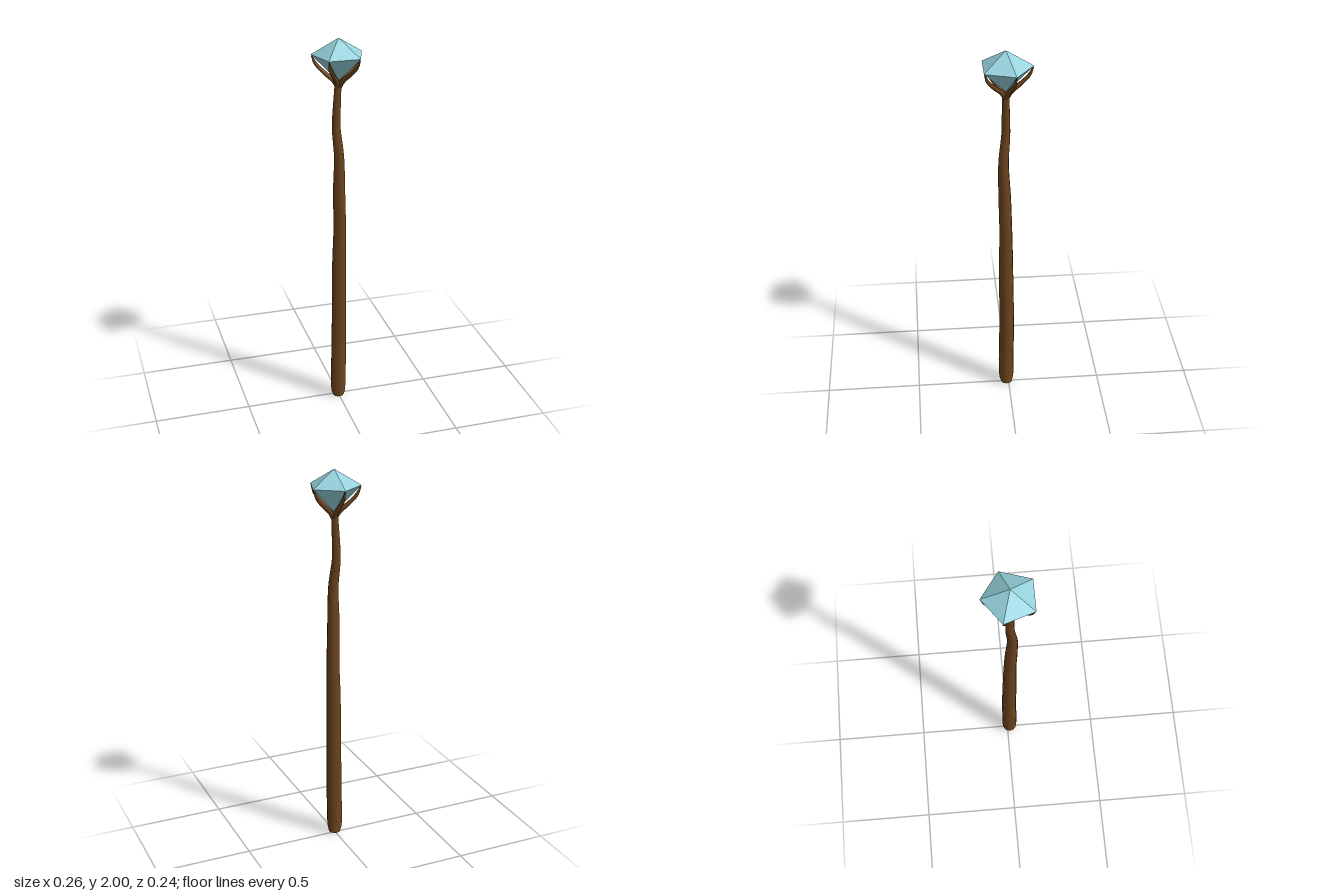
import * as THREE from 'three';

const wood = new THREE.MeshStandardMaterial({ color: 0x6b441c });
const crystal = new THREE.MeshStandardMaterial({ color: 0x96d2dc, flatShading: true });
const AXIS_Z = 0.012; // the head sits slightly forward of the origin

// Tapered, capped tube through [x, y, z, radius] stations
function taperedTube(stations, rings, sides) {
  const curve = new THREE.CatmullRomCurve3(stations.map(s => new THREE.Vector3(s[0], s[1], s[2])));
  const geo = new THREE.TubeGeometry(curve, rings, 1, sides);
  const pos = geo.attributes.position;
  const normal = geo.attributes.normal;
  const n = stations.length - 1;
  const centre = new THREE.Vector3();
  for (let i = 0; i <= rings; i++) {
    const t = curve.getUtoTmapping(i / rings) * n;
    const k = Math.min(Math.floor(t), n - 1);
    const r = THREE.MathUtils.lerp(stations[k][3], stations[k + 1][3], t - k);
    curve.getPointAt(i / rings, centre);
    for (let j = 0; j <= sides; j++) {
      const v = i * (sides + 1) + j;
      pos.setXYZ(v, centre.x + normal.getX(v) * r, centre.y + normal.getY(v) * r, centre.z + normal.getZ(v) * r);
    }
  }
  return geo;
}

export function createModel() {
  const group = new THREE.Group();
  const add = (geo, material, name) => {
    const mesh = new THREE.Mesh(geo, material);
    mesh.name = name;
    group.add(mesh);
    return mesh;
  };

  // Gnarled shaft, wandering a little as it narrows
  const shaft = [
    [0, 0.003, 0.011, 0.03], [-0.002, 0.04, 0.012, 0.04], [-0.001, 0.15, 0.013, 0.041],
    [0.003, 0.4, 0.01, 0.04], [0.003, 0.8, 0.013, 0.037], [0.006, 1.0, 0.014, 0.033],
    [0.001, 1.2, 0.019, 0.032], [-0.001, 1.4, 0.024, 0.026], [-0.012, 1.55, 0.012, 0.022],
    [-0.009, 1.65, 0.012, 0.02], [-0.002, 1.78, AXIS_Z, 0.017],
  ];
  add(taperedTube(shaft, 60, 12), wood, 'shaft');

  // Discs closing the foot and the top of the shaft
  const foot = add(new THREE.CircleGeometry(0.03, 12), wood, 'shaftFoot');
  foot.rotation.x = Math.PI / 2;
  foot.position.set(0, 0.002, 0.011);
  const top = add(new THREE.CircleGeometry(0.017, 12), wood, 'shaftTop');
  top.rotation.x = -Math.PI / 2;
  top.position.set(-0.002, 1.78, AXIS_Z);

  // Five-sided crystal: two cones sharing a rim, one corner pointing back
  const R = 0.135, RIM = 1.917, TIP = 2.0, BOTTOM = 1.785;
  const upper = add(new THREE.ConeGeometry(R, TIP - RIM, 5, 1, true), crystal, 'crystalTop');
  upper.position.set(0, (TIP + RIM) / 2, AXIS_Z);
  upper.rotation.y = Math.PI;
  const lower = add(new THREE.CylinderGeometry(R, 0, RIM - BOTTOM, 5, 1, true), crystal, 'crystalBottom');
  lower.position.set(0, (RIM + BOTTOM) / 2, AXIS_Z);
  lower.rotation.y = Math.PI;

  // Curved prongs reaching up to each corner of the crystal
  const prong = taperedTube([
    [0, 1.745, 0, 0.012], [0, 1.785, 0.022, 0.013], [0, 1.832, 0.075, 0.011],
    [0, 1.872, 0.112, 0.009], [0, 1.913, 0.131, 0.003],
  ], 14, 7);
  for (let i = 0; i < 5; i++) {
    const mesh = add(prong, wood, 'prong' + (i + 1));
    mesh.position.z = AXIS_Z;
    mesh.rotation.y = Math.PI + (i * 2 * Math.PI) / 5;
  }
  return group;
}
